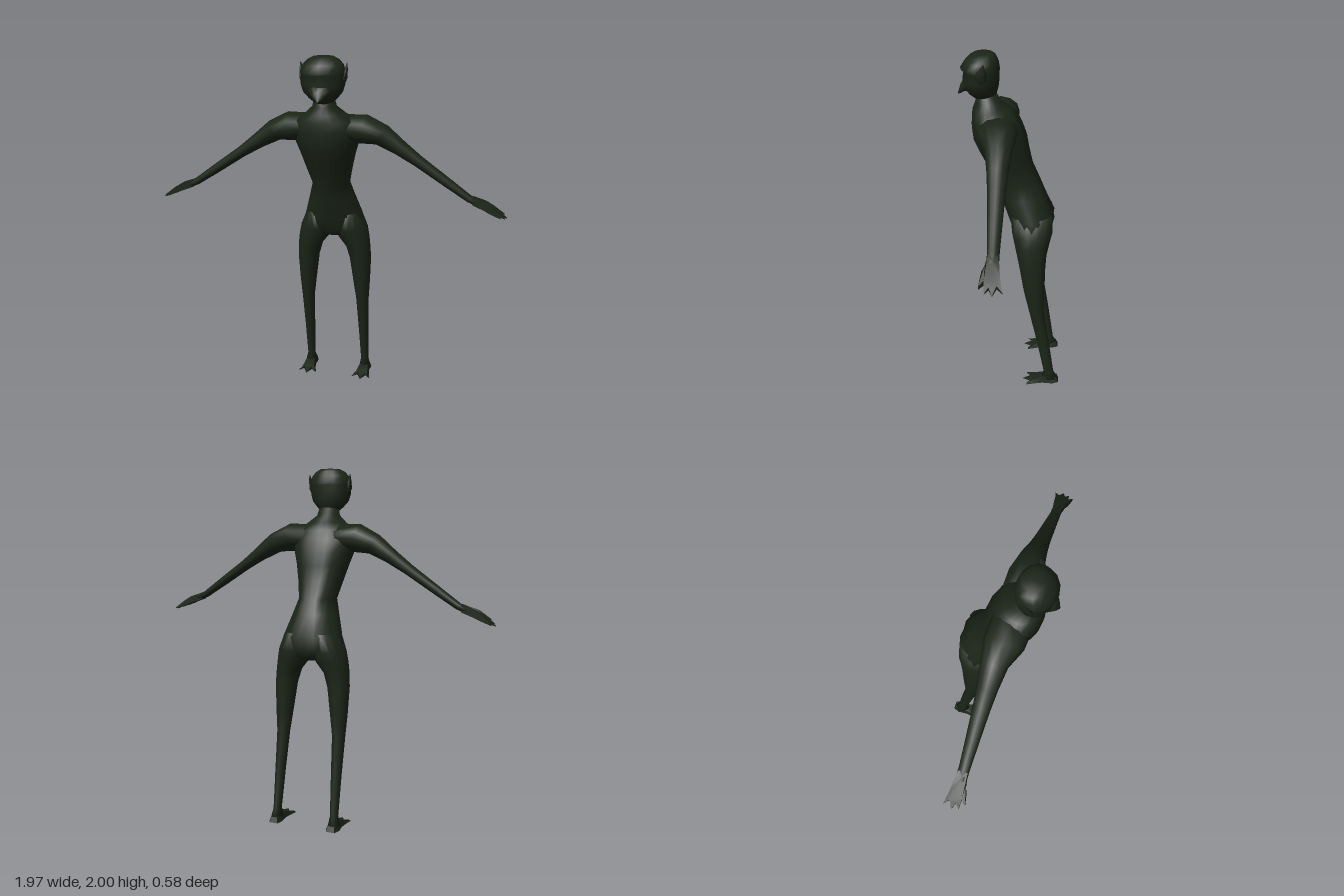
import * as THREE from 'three';
import { toCreasedNormals } from 'three/addons/utils/BufferGeometryUtils.js';

const V = (x, y, z) => new THREE.Vector3(x, y, z);
const skin = new THREE.MeshStandardMaterial({ color: 0x1c2518 });

function part(name, geometry) {
  const mesh = new THREE.Mesh(geometry, skin);
  mesh.name = name;
  return mesh;
}

// Ring of points c + a cos + b sin; a x b points along the loft.
function ring(c, a, b, n) {
  return Array.from({ length: n }, (_, i) => {
    const t = (i / n) * Math.PI * 2;
    return c.clone().addScaledVector(a, Math.cos(t)).addScaledVector(b, Math.sin(t));
  });
}

// Horizontal ring from its side, front and back limits.
const level = (y, x0, x1, zf, zb, n) =>
  ring(V((x0 + x1) / 2, y, (zf + zb) / 2), V(0, 0, (zf - zb) / 2), V((x1 - x0) / 2, 0, 0), n);

// Closed smooth skin over a series of rings.
function loft(rings) {
  const n = rings[0].length, last = rings.length - 1;
  const pts = rings.flat(), index = [];
  for (let i = 0; i < last; i++) for (let j = 0; j < n; j++) {
    const a = i * n + j, b = i * n + (j + 1) % n;
    index.push(a, b, b + n, a, b + n, a + n);
  }
  for (const end of [0, last]) {
    const mid = rings[end].reduce((s, p) => s.add(p), V(0, 0, 0)).divideScalar(n);
    const m = pts.push(mid) - 1;
    for (let j = 0; j < n; j++) {
      const a = end * n + j, b = end * n + (j + 1) % n;
      index.push(m, ...(end ? [a, b] : [b, a]));
    }
  }
  const g = new THREE.BufferGeometry().setFromPoints(pts);
  g.setIndex(index);
  g.computeVertexNormals();
  return g;
}

// Webbed plate: outline in (x, z), raised by a rule of x, z and layer t (0 or 1).
function webbed(outline, rule) {
  const shape = new THREE.Shape(outline.map(([x, z]) => new THREE.Vector2(x, -z)));
  const g = new THREE.ExtrudeGeometry(shape, { depth: 1, bevelEnabled: false });
  const p = g.attributes.position;
  for (let i = 0; i < p.count; i++) {
    p.setXYZ(i, ...rule(p.getX(i), -p.getY(i), p.getZ(i)));
  }
  return toCreasedNormals(g, 0.7);
}

// Torso and neck, bottom up: y, half width, front z, back z
function torso() {
  const rows = [
    [0.945, 0.07, -0.07, -0.17], [0.96, 0.13, -0.03, -0.205], [1.0, 0.19, 0, -0.225],
    [1.08, 0.168, 0.03, -0.245], [1.2, 0.13, 0.07, -0.192], [1.28, 0.106, 0.095, -0.16],
    [1.38, 0.13, 0.14, -0.115], [1.47, 0.153, 0.185, -0.095], [1.54, 0.175, 0.215, -0.082],
    [1.61, 0.19, 0.222, -0.055], [1.66, 0.175, 0.22, -0.03], [1.7, 0.11, 0.215, 0.005],
    [1.74, 0.065, 0.2, 0.06], [1.81, 0.05, 0.19, 0.1],
  ];
  const n = 20;
  return loft(rows.map(([y, w, zf, zb]) => {
    const r = level(y, -w, w, zf, zb, n);
    if (y > 1.05 && y < 1.68) r[n / 2].z += 0.012; // spine groove
    return r;
  }));
}

// Head with a brow ridge over a sunken eye band
function head() {
  const rows = [
    [1.76, 0.045, 0.2, 0.1], [1.785, 0.075, 0.232, 0.085], [1.82, 0.105, 0.255, 0.075],
    [1.86, 0.117, 0.264, 0.07], [1.91, 0.117, 0.258, 0.068], [1.922, 0.121, 0.275, 0.067],
    [1.96, 0.108, 0.252, 0.073], [1.985, 0.085, 0.228, 0.085], [2.0, 0.055, 0.205, 0.1],
  ];
  return loft(rows.map(([y, w, zf, zb]) => level(y, -w, w, zf, zb, 14)));
}

// Drooping beak
function beak() {
  const rows = [[1.845, 0.2, 0.085, 0.045], [1.835, 0.25, 0.058, 0.038],
    [1.808, 0.275, 0.03, 0.026], [1.782, 0.29, 0.003, 0.004]];
  return loft(rows.map(([y, z, w, h]) => ring(V(0, y, z), V(w, 0, 0), V(0, h, 0), 8)));
}

// Pointed ear
function ear() {
  const rows = [[0.1, 1.855, 0.16, 0.015, 0.012], [0.113, 1.89, 0.16, 0.032, 0.013],
    [0.118, 1.925, 0.155, 0.026, 0.009], [0.124, 1.97, 0.145, 0.002, 0.002]];
  return loft(rows.map(([x, y, z, d, w]) => ring(V(x, y, z), V(0, 0, d), V(w, 0, 0), 6)));
}

// Arm, shoulder to wrist: x, y, z, thickness radius, depth radius, slope
function arm() {
  const rows = [
    [0.06, 1.62, 0.08, 0.07, 0.11, 0], [0.2, 1.615, 0.075, 0.08, 0.105, -0.2],
    [0.3, 1.583, 0.06, 0.06, 0.072, -0.55], [0.4, 1.518, 0.06, 0.042, 0.056, -0.6],
    [0.5, 1.45, 0.06, 0.031, 0.046, -0.6], [0.65, 1.348, 0.06, 0.026, 0.037, -0.6],
    [0.78, 1.26, 0.06, 0.02, 0.03, -0.5], [0.84, 1.235, 0.06, 0.018, 0.03, -0.35],
  ];
  return loft(rows.map(([x, y, z, r, d, a]) =>
    ring(V(x, y, z), V(-Math.sin(a) * r, Math.cos(a) * r, 0), V(0, 0, d), 12)));
}

// Hand with clawed, webbed fingers
function hand() {
  const outline = [[0.8, 0.035], [0.87, 0.025], [0.91, 0.022], [0.97, 0.008], [0.945, 0.035],
    [0.985, 0.055], [0.95, 0.072], [0.975, 0.092], [0.925, 0.095], [0.95, 0.12],
    [0.89, 0.108], [0.86, 0.095], [0.8, 0.085]];
  return webbed(outline, (x, z, t) => {
    const y = 1.25 - (x < 0.88 ? (x - 0.8) * 0.35 : 0.028 + (x - 0.88) * 0.56);
    const h = Math.max(0.002, 0.02 * Math.min(1, (0.985 - x) / 0.09));
    return [x, y + (t * 2 - 1) * h, z];
  });
}

// Leg, ankle up: y, inner x, outer x, front z, back z
function leg() {
  const rows = [
    [0.02, 0.143, 0.21, -0.18, -0.28], [0.07, 0.152, 0.198, -0.197, -0.256],
    [0.3, 0.142, 0.202, -0.15, -0.222], [0.52, 0.132, 0.207, -0.1, -0.186],
    [0.65, 0.115, 0.215, -0.07, -0.19], [0.8, 0.095, 0.221, -0.045, -0.192],
    [0.88, 0.072, 0.216, -0.028, -0.197], [0.94, 0.025, 0.209, -0.013, -0.212],
    [1.0, 0, 0.197, 0, -0.228], [1.1, 0.02, 0.155, 0.01, -0.225],
  ];
  return loft(rows.map((r) => level(...r, 14)));
}

// Webbed foot, sloping down to three toes
function foot() {
  const outline = [[0.15, -0.288], [0.2, -0.288], [0.215, -0.25], [0.21, -0.19], [0.218, -0.145],
    [0.23, -0.095], [0.2, -0.125], [0.173, -0.072], [0.148, -0.125], [0.115, -0.095],
    [0.13, -0.145], [0.14, -0.19], [0.137, -0.25]];
  return webbed(outline, (x, z, t) => {
    const h = z < -0.24 ? 0.03 : Math.max(0.004, (-0.08 - z) * 0.35);
    return [0.174 + (x - 0.174) * (1 - 0.25 * t), t * h, z + (z < -0.24 ? 0.012 * t : 0)];
  });
}

export function createModel() {
  const model = new THREE.Group();
  model.name = 'creature';
  model.add(part('torso', torso()), part('head', head()), part('beak', beak()));

  // Limbs and ears, mirrored
  const limbs = { Ear: ear(), Arm: arm(), Hand: hand(), Leg: leg(), Foot: foot() };
  for (const [side, sx] of [['left', 1], ['right', -1]]) {
    const half = new THREE.Group();
    half.name = side + 'Side';
    half.scale.x = sx;
    for (const key in limbs) half.add(part(side + key, limbs[key]));
    model.add(half);
  }
  return model;
}
